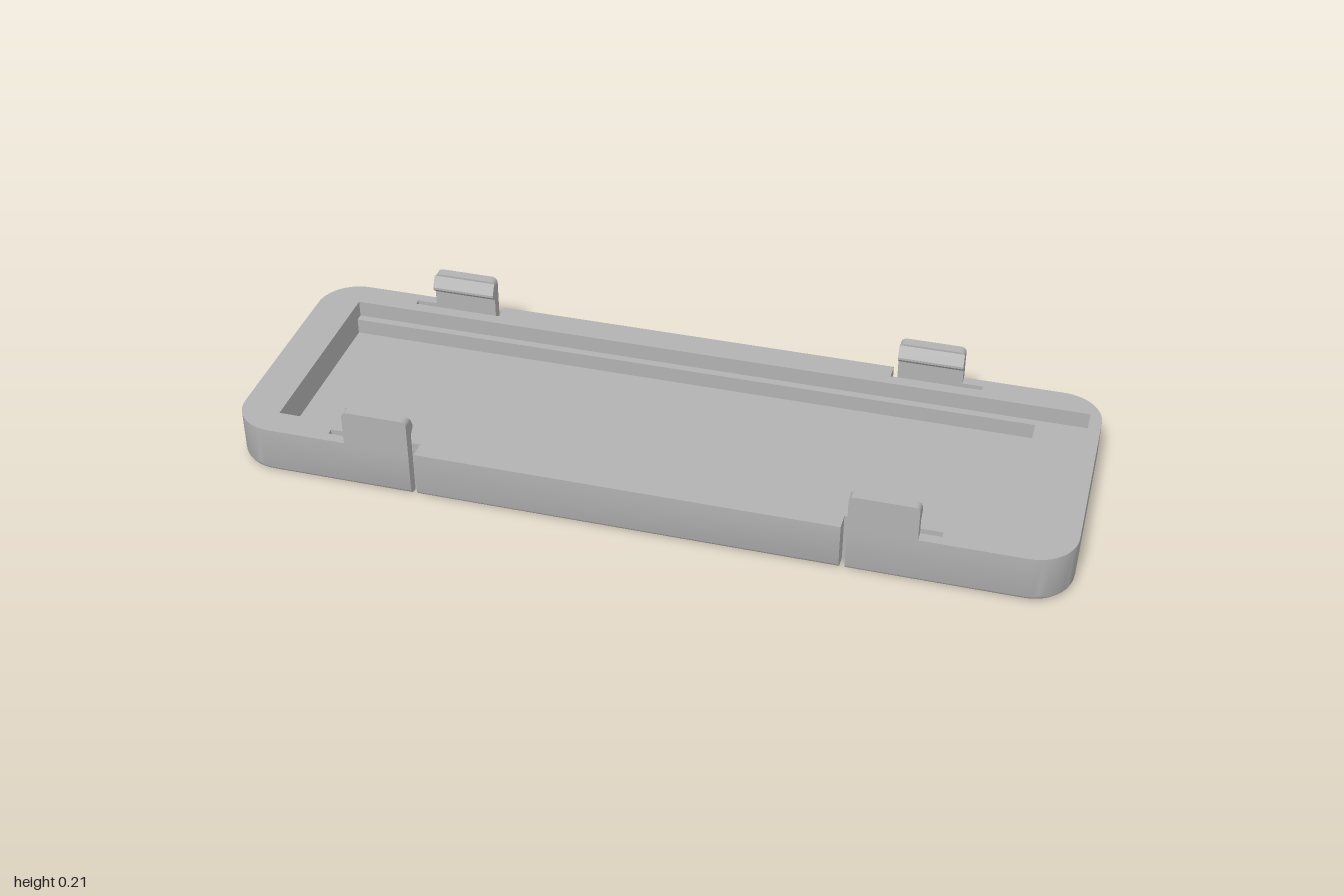
import * as THREE from 'three';
import { toCreasedNormals } from 'three/addons/utils/BufferGeometryUtils.js';

const HX = 1, HZ = 0.325, CORNER = 0.1, FILLET = 0.02;
const RIM = 0.122, LEDGE = 0.08, FLOOR = 0.04, TAB_TOP = 0.211;
const SLIT = 0.545, SLOT_OUT = 0.299, SLOT_IN = 0.283, TAB_W = 0.16;
const MIRROR_X = -0.05; // the clips mirror about x = -0.025

// Plan outline (x, -z), counter-clockwise, inset by d, notched by the four L-shaped clip slots
function outline(d) {
  const edge = -HZ + d;
  const half = [];
  const arc = (sx, a0) => {
    for (let i = 0; i <= 10; i++) {
      const a = a0 + (i / 10) * Math.PI / 2;
      half.push([sx * (HX - CORNER) + (CORNER - d) * Math.cos(a), -(HZ - CORNER) + (CORNER - d) * Math.sin(a)]);
    }
  };
  const slot = [
    [-SLIT, edge], [-SLIT, -SLOT_OUT], [-0.755, -SLOT_OUT],
    [-0.755, -SLOT_IN], [-0.531, -SLOT_IN], [-0.531, edge],
  ];
  arc(-1, Math.PI);
  half.push(...slot, ...slot.map(([x, y]) => [MIRROR_X - x, y]).reverse());
  arc(1, 1.5 * Math.PI);
  return [...half, ...half.map(([x, y]) => [x, -y]).reverse()];
}

const rect = (x0, x1, z) => [[x0, -z], [x1, -z], [x1, z], [x0, z]];
const vectors = (pts) => pts.map(([x, y]) => new THREE.Vector2(x, y));

// Wall through rings of equal length; rings listed top to bottom face inward
function wall(rings) {
  const pos = [];
  const n = rings[0].pts.length;
  const put = (r, i) => pos.push(r.pts[i % n][0], r.y, -r.pts[i % n][1]);
  for (let k = 0; k + 1 < rings.length; k++) {
    const a = rings[k], b = rings[k + 1];
    for (let i = 0; i < n; i++) {
      put(a, i); put(a, i + 1); put(b, i + 1);
      put(a, i); put(b, i + 1); put(b, i);
    }
  }
  const g = new THREE.BufferGeometry();
  g.setAttribute('position', new THREE.Float32BufferAttribute(pos, 3));
  return toCreasedNormals(g, 0.6);
}

// Flat horizontal face at height y, optionally with a hole
function flat(pts, y, hole, down = false) {
  const shape = new THREE.Shape(vectors(pts));
  if (hole) shape.holes.push(new THREE.Path(vectors(hole)));
  const g = new THREE.ShapeGeometry(shape);
  if (down) {
    const ix = g.index.array;
    for (let i = 0; i < ix.length; i += 3) [ix[i], ix[i + 1]] = [ix[i + 1], ix[i]];
  }
  g.rotateX(-Math.PI / 2).translate(0, y, 0);
  g.computeVertexNormals();
  return g;
}

export function createModel() {
  const group = new THREE.Group();
  group.name = 'clipTray';
  const grey = new THREE.MeshStandardMaterial({ color: 0xb2b2b2 });
  grey.name = 'grey plastic';
  const add = (parent, name, geometry) => {
    const m = new THREE.Mesh(geometry, grey);
    m.name = name;
    parent.add(m);
    return m;
  };

  // Outer shell with rounded lower edge
  const rings = [];
  for (let i = 0; i <= 5; i++) {
    const a = (i / 5) * Math.PI / 2;
    rings.push({ pts: outline(FILLET * (1 - Math.sin(a))), y: FILLET * (1 - Math.cos(a)) });
  }
  rings.push({ pts: outline(0), y: RIM });
  add(group, 'outerWall', wall(rings));
  add(group, 'underside', flat(outline(FILLET), 0, null, true));

  // Stepped recess: wide upper opening, ledge, deeper pocket
  const opening = rect(-0.9, 0.97, 0.2525);
  const pocket = rect(-0.9, 0.845, 0.2325);
  // the ledge is open on the -x side, where both recesses share one wall
  const ledge = [[-0.9, -0.2525], [0.97, -0.2525], [0.97, 0.2525], [-0.9, 0.2525],
    [-0.9, 0.2325], [0.845, 0.2325], [0.845, -0.2325], [-0.9, -0.2325]];
  add(group, 'rim', flat(outline(0), RIM, opening));
  add(group, 'openingWall', wall([{ pts: opening, y: RIM }, { pts: opening, y: LEDGE }]));
  add(group, 'ledge', flat(ledge, LEDGE));
  add(group, 'pocketWall', wall([{ pts: pocket, y: LEDGE }, { pts: pocket, y: FLOOR }]));
  add(group, 'floor', flat(pocket, FLOOR));

  // Snap clips: upright plate with rounded top corners and an inward hook
  const w = TAB_W / 2, r = 0.014;
  const plate = new THREE.Shape();
  plate.moveTo(-w, RIM);
  plate.lineTo(w, RIM);
  plate.lineTo(w, TAB_TOP - r);
  plate.absarc(w - r, TAB_TOP - r, r, 0, Math.PI / 2);
  plate.absarc(-w + r, TAB_TOP - r, r, Math.PI / 2, Math.PI);
  const plateGeo = new THREE.ExtrudeGeometry(plate, { depth: HZ - SLOT_OUT, bevelEnabled: false, curveSegments: 6 });
  plateGeo.translate(0, 0, SLOT_OUT);

  // hook profile in (-z, y), swept along x
  const hook = new THREE.Shape(vectors([
    [-SLOT_OUT, 0.159], [-0.284, 0.173], [-0.284, 0.179], [-SLOT_OUT, 0.206],
  ]));
  const hookGeo = new THREE.ExtrudeGeometry(hook, { depth: TAB_W, bevelEnabled: false });
  hookGeo.translate(0, 0, -w).rotateY(Math.PI / 2);

  const leftX = -SLIT - w;
  for (const x of [leftX, MIRROR_X - leftX]) {
    for (const side of ['front', 'back']) {
      const clip = new THREE.Group();
      clip.name = side + 'Clip';
      add(clip, 'clipPlate', plateGeo);
      add(clip, 'clipHook', hookGeo);
      clip.position.x = x;
      if (side === 'back') clip.rotation.y = Math.PI;
      group.add(clip);
    }
  }
  return group;
}
